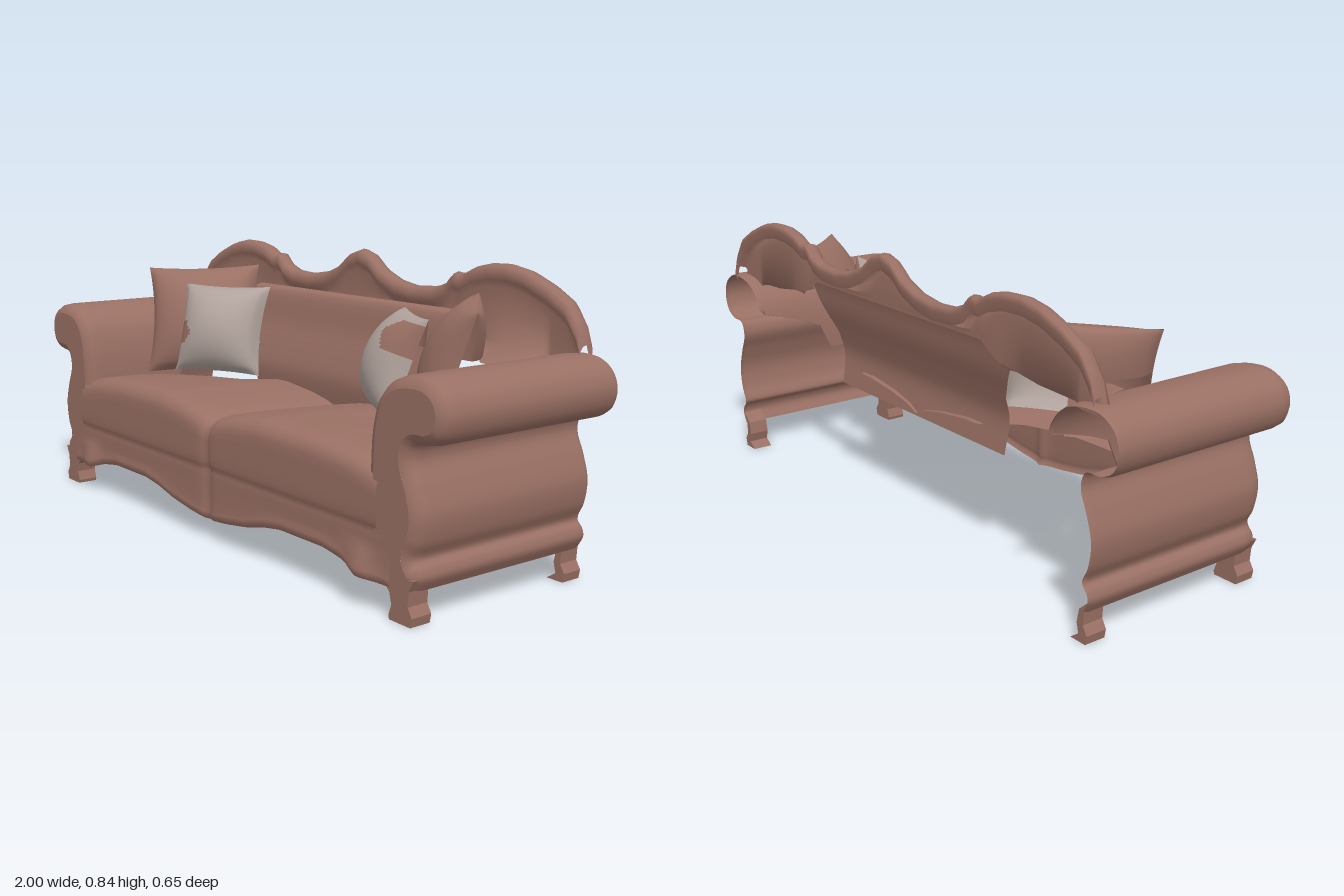
import * as THREE from 'three';

const upholstery = new THREE.MeshStandardMaterial({ name: 'brown upholstery', color: 0x9a7064, side: THREE.DoubleSide });
const pillowGrey = new THREE.MeshStandardMaterial({ name: 'grey pillow fabric', color: 0xb0a29c, side: THREE.DoubleSide });

// Linear lookup in a list of [key, value, ...] rows
function lookup(rows, k, col = 1) {
  for (let i = 1; i < rows.length; i++) {
    if (k <= rows[i][0]) {
      const a = rows[i - 1], b = rows[i];
      const t = Math.max(0, (k - a[0]) / (b[0] - a[0]));
      return a[col] + (b[col] - a[col]) * t;
    }
  }
  return rows[rows.length - 1][col];
}

// Surface grid: fn(u, v) -> [x, y, z], u and v in 0..1; pick gives a material index per cell, -1 leaves it open
function surface(nu, nv, fn, pick) {
  const pos = [], cells = [[], []];
  for (let i = 0; i <= nu; i++) for (let j = 0; j <= nv; j++) pos.push(...fn(i / nu, j / nv));
  for (let i = 0; i < nu; i++) for (let j = 0; j < nv; j++) {
    const a = i * (nv + 1) + j, b = a + nv + 1;
    const m = pick ? pick((i + 0.5) / nu, (j + 0.5) / nv) : 0;
    if (m >= 0) cells[m].push(a, b, b + 1, a, b + 1, a + 1);
  }
  const g = new THREE.BufferGeometry();
  g.setAttribute('position', new THREE.Float32BufferAttribute(pos, 3));
  g.setIndex([...cells[0], ...cells[1]]);
  g.addGroup(0, cells[0].length, 0);
  g.addGroup(cells[0].length, cells[1].length, 1);
  g.computeVertexNormals();
  return g;
}

function add(parent, name, geometry, material = upholstery) {
  const mesh = new THREE.Mesh(geometry, material);
  mesh.name = name;
  parent.add(mesh);
  return mesh;
}

function smooth(points) {
  return new THREE.CatmullRomCurve3(points.map(([x, y]) => new THREE.Vector3(x, y, 0)), false, 'centripetal');
}

// Half outlines, |x| against y
const crest = [[0, 0.84], [0.05, 0.825], [0.1, 0.785], [0.17, 0.757], [0.25, 0.745], [0.34, 0.75], [0.39, 0.768],
  [0.42, 0.80], [0.45, 0.796], [0.5, 0.82], [0.56, 0.833], [0.63, 0.835], [0.7, 0.822], [0.78, 0.79], [0.85, 0.75], [0.89, 0.69], [0.905, 0.645]];
const crestFoot = [[0, 0.69], [0.42, 0.69], [0.52, 0.63], [0.66, 0.61], [0.91, 0.6]];
const apron = [[0, 0.06], [0.1, 0.07], [0.2, 0.085], [0.28, 0.105], [0.36, 0.117], [0.55, 0.117], [0.63, 0.105], [0.7, 0.085], [0.82, 0.08]];
const seatTop = [[0, 0.36], [0.04, 0.378], [0.12, 0.395], [0.25, 0.41], [0.5, 0.407], [0.65, 0.395], [0.77, 0.372]];

// Rolled arm cross-section, inner foot round to outer foot
const armProfile = [[0.74, 0.09], [0.725, 0.25], [0.722, 0.36], [0.73, 0.48], [0.755, 0.555], [0.80, 0.6], [0.86, 0.618],
  [0.93, 0.617], [0.98, 0.585], [0.998, 0.535], [0.98, 0.48], [0.935, 0.455], [0.885, 0.45], [0.872, 0.41], [0.895, 0.35],
  [0.914, 0.28], [0.905, 0.21], [0.886, 0.165], [0.902, 0.145], [0.908, 0.12], [0.89, 0.085]];
const frontLeg = [[0.79, 0.1], [0.818, 0.07], [0.825, 0.04], [0.815, 0.01], [0.818, 0], [0.895, 0], [0.9, 0.025],
  [0.885, 0.05], [0.888, 0.09], [0.903, 0.12], [0.8, 0.12]];
const backLeg = [[0.87, 0.09], [0.862, 0.05], [0.87, 0.02], [0.84, 0], [0.895, 0], [0.9, 0.025], [0.885, 0.05], [0.888, 0.09], [0.903, 0.12]];

function legGeometry(profile) {
  const shape = new THREE.Shape(profile.map(p => new THREE.Vector2(...p)));
  return new THREE.ExtrudeGeometry(shape, { depth: 0.065, bevelEnabled: false });
}

function makeArm() {
  const arm = new THREE.Group();
  const curve = smooth(armProfile);
  // Depth stations with the inset that rounds the front edge
  const stations = [[-0.318, 0.005], [-0.3, 0], [-0.04, 0], [0.25, 0], [0.28, 0.004], [0.295, 0.014], [0.302, 0.03]];
  // Low down, the inner wall starts where the corner cushion meets it
  const rearLimit = [[0.1, -0.06], [0.135, -0.1], [0.17, -0.318]];
  const point = (t, inset) => {
    const p = curve.getPoint(t), d = curve.getTangent(t);
    return [p.x + d.y * inset, p.y - d.x * inset];
  };
  add(arm, 'arm shell', surface(stations.length - 1, 80, (u, v) => {
    const [z, inset] = stations[Math.round(u * (stations.length - 1))], t = 0.1 + 0.9 * v;
    return [...point(t, inset), Math.max(z, lookup(rearLimit, t))];
  }));
  const face = [];
  for (let i = 0; i <= 80; i++) face.push(new THREE.Vector2(...point(i / 80, 0.03)));
  add(arm, 'arm front panel', new THREE.ShapeGeometry(new THREE.Shape(face))).position.z = 0.302;
  add(arm, 'front leg', legGeometry(frontLeg)).position.z = 0.236;
  add(arm, 'back leg', legGeometry(backLeg)).position.z = -0.315;
  return arm;
}

// One puffed face of a cushion with pinched corners, from height vMin (-1 is the bottom) to the top
function makePillow(w, h, d, pick, vMin = -1) {
  return surface(28, 28, (a, b) => {
    const u = a * 2 - 1, v = vMin + (1 - vMin) * b;
    const puff = Math.pow((1 - u * u) * (1 - v * v), 0.55);
    return [u * w * (1 - 0.1 * (1 - v * v)), v * h * (1 - 0.05 * (1 - u * u)), d * puff];
  }, pick);
}

function place(mesh, x, y, z, turn, lean, roll) {
  mesh.position.set(x, y, z);
  mesh.rotation.set(-lean, turn, roll, 'YXZ');
}

export function createModel() {
  const sofa = new THREE.Group();
  sofa.name = 'sofa';

  // Seat top, cushion front and apron in one sweep, open behind the pillows
  const backEdge = [[0, -0.2], [0.3, -0.2], [0.38, -0.1], [0.5, -0.05], [0.6, -0.03], [0.77, 0.0]];
  add(sofa, 'seat and apron', surface(96, 40, (u, v) => {
    const x = (u * 2 - 1) * (0.77 + 0.05 * THREE.MathUtils.smoothstep(v, 0.78, 0.88)), ax = Math.abs(x);
    const top = lookup(seatTop, ax), low = lookup(apron, ax), zb = lookup(backEdge, ax);
    const crease = 0.012 * Math.exp(-ax / 0.015);
    if (v < 0.45) {
      const t = v / 0.45;
      return [x, top - 0.02 * (1 - t) * (1 - t), zb + (0.25 - zb) * t];
    }
    // Carved swell of the apron next to each front leg
    const knee = 0.02 * Math.exp(-(((ax - 0.71) / 0.05) ** 2)) * THREE.MathUtils.smoothstep(v, 0.84, 0.94);
    const front = [[0.45, 0.25, top], [0.5, 0.28, top - 0.008], [0.55, 0.3, top - 0.025], [0.6, 0.308, top - 0.05],
      [0.7, 0.308, 0.25], [0.75, 0.305, 0.225], [0.775, 0.3, 0.217], [0.8, 0.302, 0.208],
      [0.875, 0.302, 0.16], [0.925, 0.303, low + 0.035], [0.975, 0.307, low + 0.012], [1, 0.298, low]];
    return [x, lookup(front, v, 2), lookup(front, v, 1) - crease + knee];
  }));

  // Scalloped crest rail with a rolled front edge, a short lip behind, and a ledge reaching to the corner cushions
  const ledge = [[0, -0.28], [0.5, -0.28], [0.56, -0.25], [0.72, -0.09], [0.77, -0.09], [0.8, -0.28], [0.91, -0.28]];
  add(sofa, 'crest rail', surface(120, 9, (u, v) => {
    const x = (u * 2 - 1) * 0.905, ax = Math.abs(x);
    const t = lookup(crest, ax), low = Math.min(t - 0.03, lookup(crestFoot, ax));
    const rows = [[t - 0.05, -0.312], [t - 0.02, -0.32], [t - 0.004, -0.316], [t, -0.3], [t - 0.006, -0.28],
      [t - 0.022, -0.269], [t - 0.045, -0.272], [Math.max(low, t - 0.065), -0.283], [low, -0.28], [low - 0.015, lookup(ledge, ax)]];
    const [y, z] = rows[Math.round(v * 9)];
    return [x, y, z];
  }));

  // Padded back, narrowing downwards between the pillows
  const padding = smooth([[0.692, -0.281], [0.685, -0.258], [0.66, -0.245], [0.58, -0.228], [0.5, -0.2], [0.43, -0.182], [0.33, -0.195]]);
  add(sofa, 'back cushion', surface(40, 24, (u, v) => {
    const p = padding.getPoint(v), half = lookup([[0.33, 0.42], [0.5, 0.43], [0.62, 0.5], [0.7, 0.53]], p.x);
    return [(u * 2 - 1) * half, p.x, p.y];
  }));

  for (const s of [1, -1]) {
    const side = s > 0 ? 'left' : 'right';
    const arm = makeArm();
    arm.name = side + ' arm';
    arm.scale.x = s;
    sofa.add(arm);

    // Corner cushion, open where the grey pillow rests, its back rounded only near the top
    const corner = new THREE.Group();
    corner.name = side + ' corner cushion';
    const rest = (u, v) => ((u - 0.5) * s < -0.1 && v < 0.7 ? -1 : 0);
    add(corner, 'cushion front', makePillow(0.195, 0.185, 0.1, rest));
    add(corner, 'cushion back', makePillow(0.195, 0.185, -0.06, undefined, 0.3));
    place(corner, s * 0.625, 0.57, -0.1, -s * Math.PI / 4, 0.3, -s * 0.04);
    sofa.add(corner);

    // Grey pillow with a patch of upholstery colour
    const patch = s > 0
      ? (u, v) => (u > 0.7 + 0.08 * Math.sin(v * 14) && v > 0.62 && v < 0.93 ? 1 : 0)
      : (u, v) => (u < 0.17 + 0.05 * Math.sin(v * 20) && v > 0.3 && v < 0.55 ? 1 : 0);
    const pillow = new THREE.Group();
    pillow.name = side + ' grey pillow';
    add(pillow, 'pillow front', makePillow(0.155, 0.15, 0.1, patch), [pillowGrey, upholstery]);
    add(pillow, 'pillow back', makePillow(0.155, 0.15, -0.05, undefined, 0.5));
    place(pillow, s * 0.44, 0.557, -0.055, -s * Math.PI / 6, 0.33, 0);
    sofa.add(pillow);
  }
  return sofa;
}
